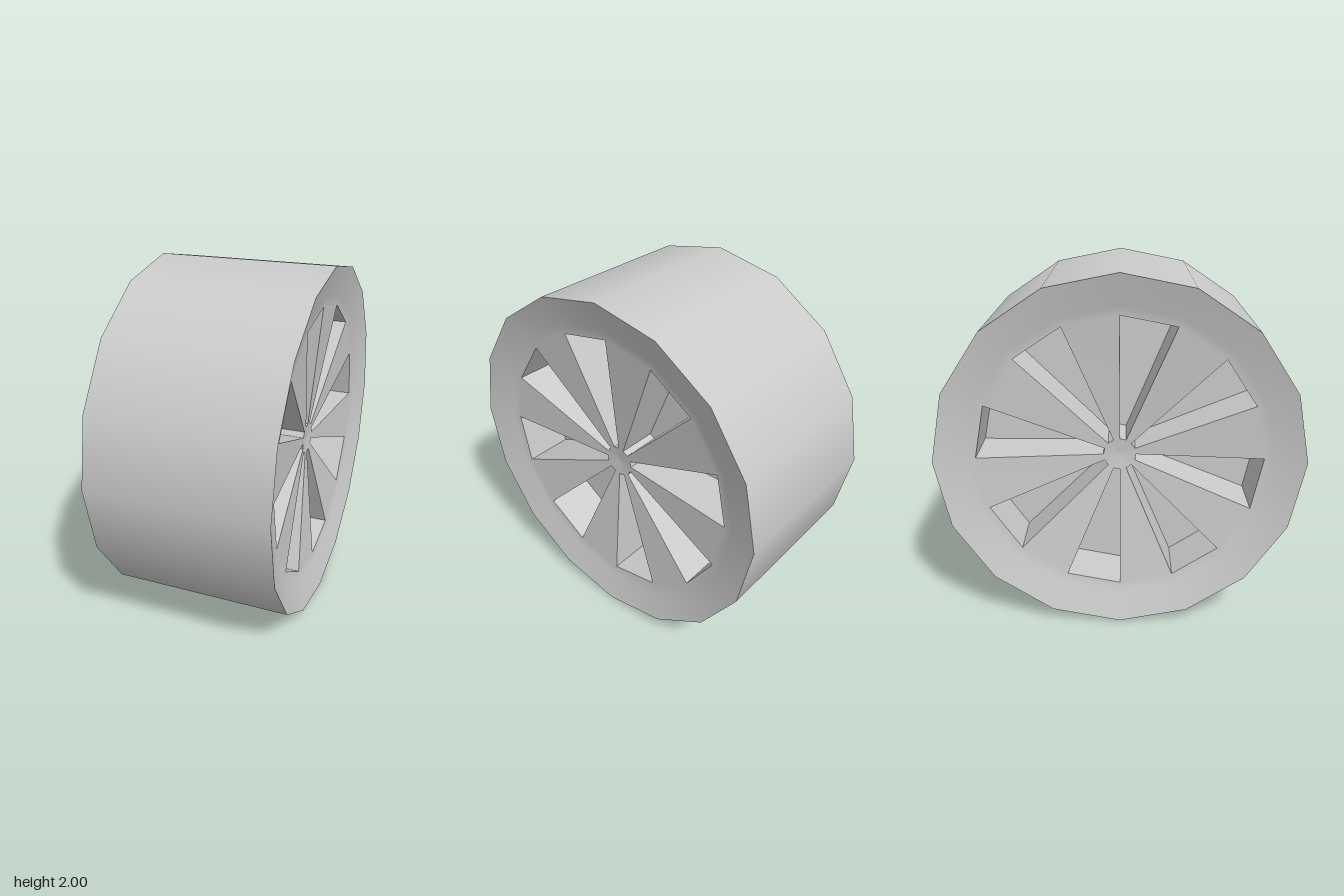
import * as THREE from 'three';

const SIDES = 16;
// Dish profile from rim to hub: [radius, x]
const RINGS = [[1, 0.5], [0.83, 0.45], [0.78, 0.44], [0.09, 0.378], [0, 0.37]];
const SLOT_RING = 2; // the band of the dish that holds the slots
const FLOOR_X = 0.15;
const isSlot = (k) => k % 2 === 1;

// Point on the wheel: radius, step around the axle (from +z towards +y), x
function point(r, k, x) {
  const a = (k / SIDES) * Math.PI * 2;
  return [x, r * Math.sin(a), r * Math.cos(a)];
}

function build(points, index) {
  const g = new THREE.BufferGeometry();
  g.setAttribute('position', new THREE.Float32BufferAttribute(points.flat(), 3));
  g.setIndex(index);
  g.computeVertexNormals();
  return g;
}

// Adds a quad of four point numbers, wound to face outwards on the given side
function quad(index, side, a, b, c, d) {
  if (side > 0) index.push(a, c, b, a, d, c);
  else index.push(a, b, c, a, c, d);
}

// Shallow dished face with open slots
function dishGeometry(side) {
  const points = [], index = [];
  for (const [r, x] of RINGS)
    for (let k = 0; k < SIDES; k++) points.push(point(r, k, side * x));
  for (let i = 0; i < RINGS.length - 1; i++)
    for (let k = 0; k < SIDES; k++) {
      if (i === SLOT_RING && isSlot(k)) continue;
      const n = (k + 1) % SIDES, o = i * SIDES, p = o + SIDES;
      quad(index, side, o + k, o + n, p + n, p + k);
    }
  return build(points, index);
}

// Walls and floor of one slot, each face with its own corners for sharp edges
function pocketGeometry(side, k) {
  const [rOut, xOut] = RINGS[SLOT_RING], [rIn, xIn] = RINGS[SLOT_RING + 1];
  const corners = [[rOut, k, xOut], [rOut, k + 1, xOut], [rIn, k + 1, xIn], [rIn, k, xIn]];
  const top = corners.map(([r, a, x]) => point(r, a, side * x));
  const floor = corners.map(([r, a]) => point(r, a, side * FLOOR_X));
  const points = [], index = [];
  const face = (...four) => {
    const s = points.length;
    points.push(...four);
    quad(index, side, s, s + 1, s + 2, s + 3);
  };
  face(...floor);
  for (let i = 0; i < 4; i++) {
    const n = (i + 1) % 4;
    face(top[i], top[n], floor[n], floor[i]);
  }
  return build(points, index);
}

export function createModel() {
  const group = new THREE.Group();
  group.name = 'wheel';
  const material = new THREE.MeshStandardMaterial({ color: 0xcccccc });
  const add = (name, geometry) => {
    const mesh = new THREE.Mesh(geometry, material);
    mesh.name = name;
    mesh.position.y = 1;
    group.add(mesh);
  };

  // Tread
  add('tread', new THREE.CylinderGeometry(1, 1, 1, SIDES, 1, true).rotateZ(Math.PI / 2));

  // Both faces with their slots
  for (const [side, label] of [[1, 'left'], [-1, 'right']]) {
    add(label + 'Face', dishGeometry(side));
    for (let k = 0; k < SIDES; k++)
      if (isSlot(k)) add(label + 'Slot', pocketGeometry(side, k));
  }
  return group;
}
